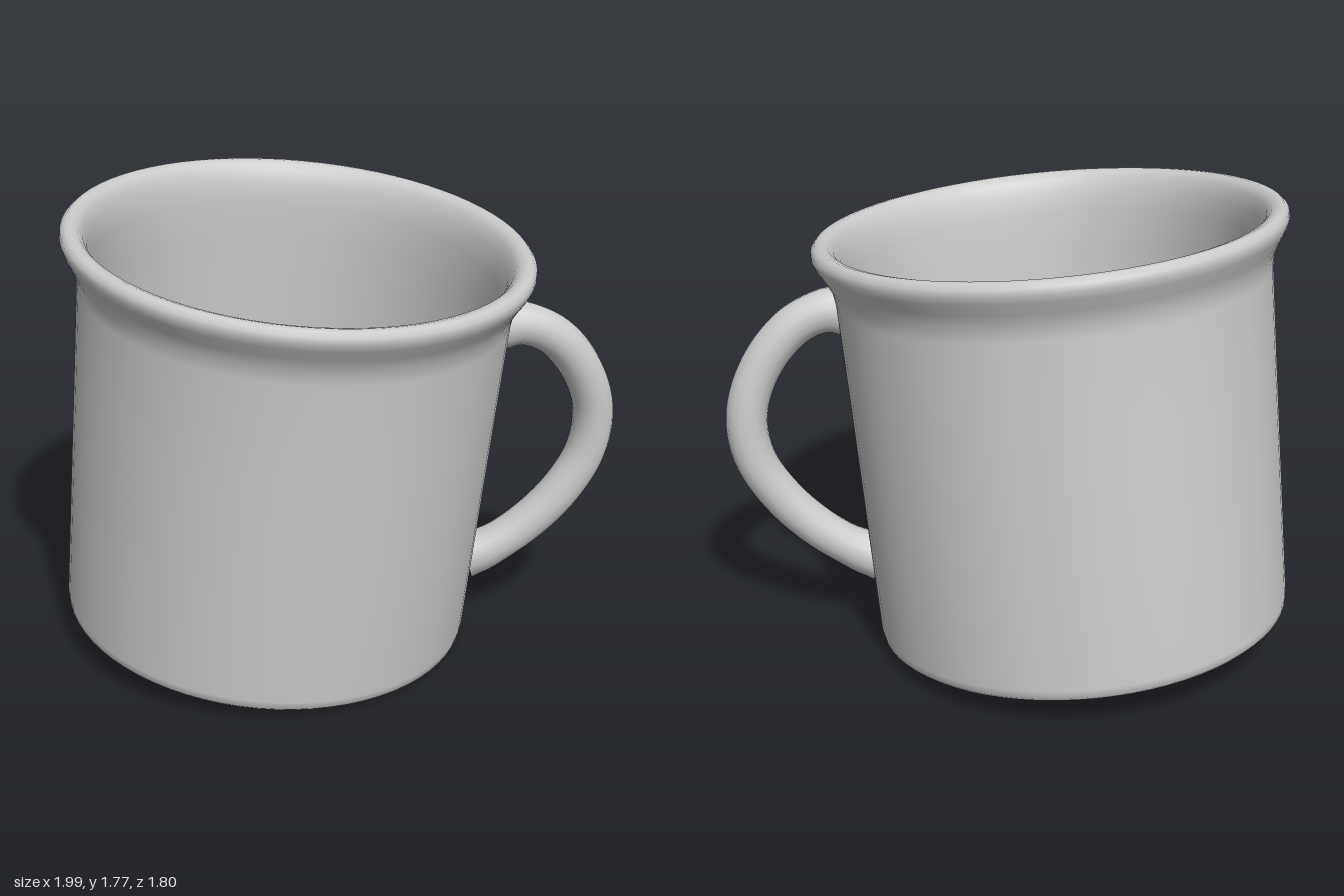
import * as THREE from 'three';

const material = () => new THREE.MeshStandardMaterial({ color: 0xcccccc, roughness: 0.8 });

// Cup wall, rolled lip, inside and floor as one closed profile: [radius, height]
function makeCup() {
  const profile = [
    [0, 0], [0.77, 0], [0.795, 0.004], [0.81, 0.018], [0.815, 0.05],
    [0.82, 0.5], [0.825, 1.0], [0.83, 1.38], [0.838, 1.44], [0.862, 1.49],
    [0.888, 1.535], [0.9, 1.565], [0.898, 1.59], [0.882, 1.607], [0.86, 1.61],
    [0.835, 1.602], [0.815, 1.58], [0.795, 1.53], [0.782, 1.45], [0.777, 1.3],
    [0.77, 0.7], [0.765, 0.12], [0.758, 0.085], [0.735, 0.068], [0.7, 0.065], [0, 0.065],
  ].map(([r, h]) => new THREE.Vector2(r, h));
  const cup = new THREE.Mesh(new THREE.LatheGeometry(profile, 72), material());
  cup.name = 'cup';
  // The cup leans towards its left, resting on the lower edge
  cup.position.set(-0.19, 0.088, 0);
  cup.rotation.z = -0.106;
  return cup;
}

// Curved handle whose ends swell where they join the wall
function makeHandle() {
  const path = new THREE.CatmullRomCurve3([
    [0.625, 1.325, -0.41], [0.70, 1.325, -0.47], [0.79, 1.27, -0.55], [0.875, 1.13, -0.64],
    [0.917, 0.94, -0.70], [0.90, 0.75, -0.695], [0.82, 0.57, -0.63],
    [0.70, 0.42, -0.54], [0.58, 0.325, -0.45], [0.52, 0.305, -0.41],
  ].map((p) => new THREE.Vector3(...p)));
  const steps = 48, sides = 16;
  const geometry = new THREE.TubeGeometry(path, steps, 0.081, sides);
  const position = geometry.attributes.position;
  const v = new THREE.Vector3();
  for (let i = 0; i <= steps; i++) {
    const t = i / steps;
    const centre = path.getPointAt(t);
    const nearEnd = Math.max(0, 1 - Math.min(t, 1 - t) / 0.12);
    const swell = 1 + 0.28 * nearEnd * nearEnd;
    for (let j = 0; j <= sides; j++) {
      const k = i * (sides + 1) + j;
      v.fromBufferAttribute(position, k).sub(centre).multiplyScalar(swell).add(centre);
      position.setXYZ(k, v.x, v.y, v.z);
    }
  }
  const handle = new THREE.Mesh(geometry, material());
  handle.name = 'handle';
  return handle;
}

export function createModel() {
  const mug = new THREE.Group();
  mug.name = 'mug';
  mug.add(makeCup(), makeHandle());
  return mug;
}
